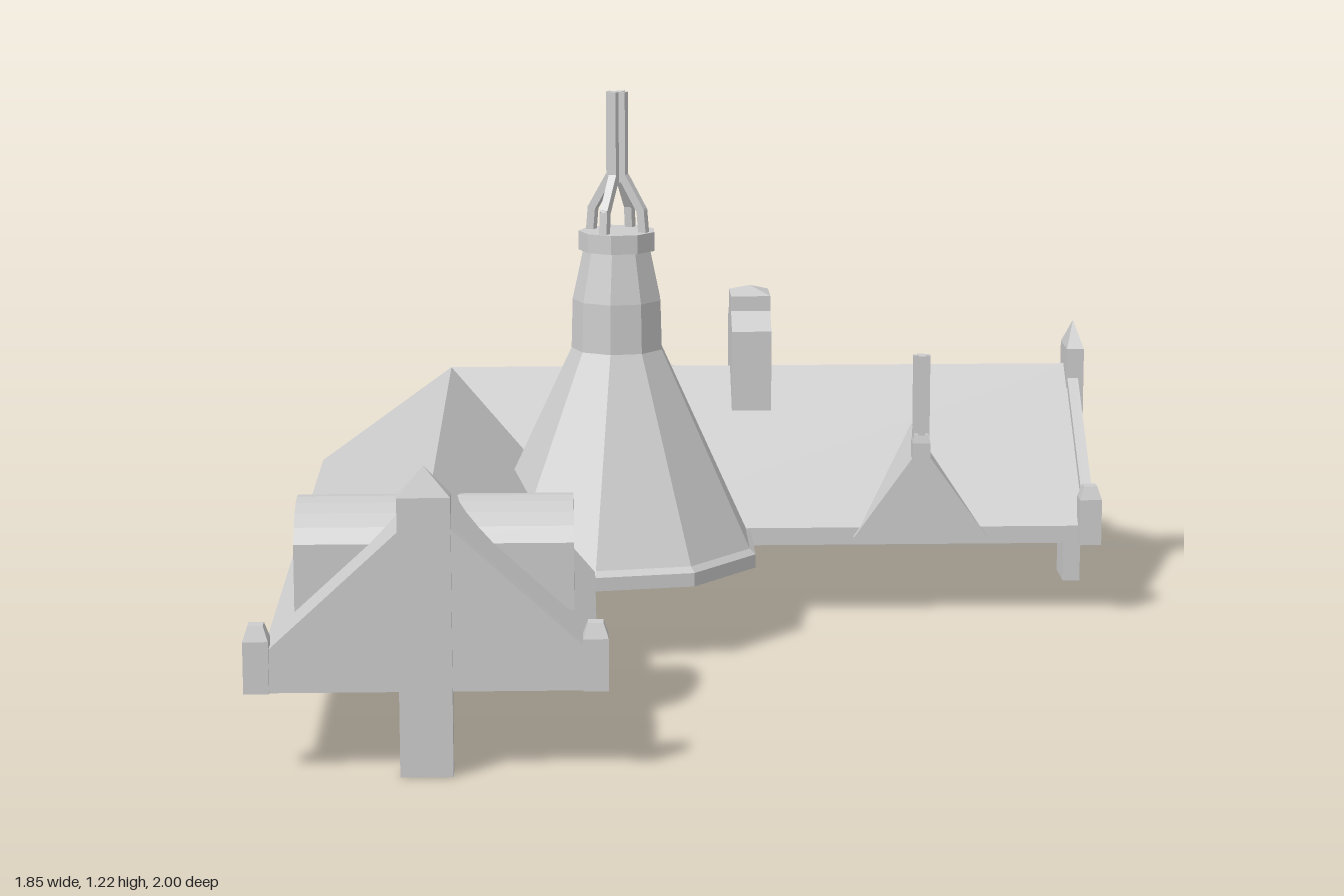
import * as THREE from 'three';

export function createModel() {
  const model = new THREE.Group();
  const grey = new THREE.MeshStandardMaterial({ color: 0xcccccc });
  grey.name = 'paleGrey';

  // Adds a faceted mesh
  function add(name, geometry, x = 0, y = 0, z = 0, parent = model) {
    const flat = geometry.index ? geometry.toNonIndexed() : geometry;
    flat.computeVertexNormals();
    const mesh = new THREE.Mesh(flat, grey);
    mesh.name = name;
    mesh.position.set(x, y, z);
    parent.add(mesh);
    return mesh;
  }

  // Builds a geometry from planar convex faces, each a counter-clockwise loop of points
  function faces(list) {
    const out = [];
    for (const f of list)
      for (let i = 1; i < f.length - 1; i++) out.push(...f[0], ...f[i], ...f[i + 1]);
    return new THREE.BufferGeometry().setAttribute('position', new THREE.Float32BufferAttribute(out, 3));
  }

  // Extrudes a profile along z from 0 to depth
  function extrude(points, depth) {
    const shape = new THREE.Shape(points.map(p => new THREE.Vector2(...p)));
    return new THREE.ExtrudeGeometry(shape, { depth, bevelEnabled: false });
  }

  // Square-section shaft with a tapered cap
  function post(name, x, z, w, d, y0, y1, y2, topScale) {
    const group = new THREE.Group();
    group.name = name;
    group.position.set(x, 0, z);
    add('shaft', new THREE.BoxGeometry(w, y1 - y0, d), 0, (y0 + y1) / 2, 0, group);
    const cap = new THREE.CylinderGeometry(topScale * Math.SQRT1_2, Math.SQRT1_2, y2 - y1, 4, 1);
    cap.rotateY(Math.PI / 4).scale(w, 1, d);
    add('cap', cap, 0, (y1 + y2) / 2, 0, group);
    model.add(group);
  }

  // L-shaped hipped roof with a shallow fascia
  const W = -0.9, I = -0.235, E = 0.895, N = -0.987, S = -0.215, F = 0.98;
  const rx = -0.567, rz = -0.6, low = 0.17, eave = 0.21, ridge = 0.515;
  const outline = [[W, N], [W, F], [I, F], [I, S], [E, S], [E, N]];
  const corner = [rx, ridge, rz], valley = [I, eave, S], hip = [W, eave, N];
  const frontRidge = [rx, ridge, F], sideRidge = [E, ridge, rz];
  const roofFaces = [
    [hip, [W, eave, F], frontRidge, corner],
    [[I, eave, F], valley, corner, frontRidge],
    [valley, [E, eave, S], sideRidge, corner],
    [[E, eave, N], hip, corner, sideRidge],
    [[W, eave, F], [I, eave, F], frontRidge],
    [[E, eave, S], [E, eave, N], sideRidge],
    [[W, low, N], [I, low, S], [I, low, F], [W, low, F]],
    [[W, low, N], [E, low, N], [E, low, S], [I, low, S]],
  ];
  outline.forEach(([x, z], i) => {
    const [u, v] = outline[(i + 1) % outline.length];
    roofFaces.push([[x, low, z], [u, low, v], [u, eave, v], [x, eave, z]]);
  });
  add('roof', faces(roofFaces));

  // Raised gable walls at both wing ends
  const gable = (a, b) => [[a, low], [b, low], [b, 0.235], [(a + b) / 2, 0.54], [a, 0.235]];
  add('frontGable', extrude(gable(W, I), 0.03), 0, 0, 0.957);
  add('sideGable', extrude(gable(-S, -N), 0.025).rotateY(Math.PI / 2), 0.883);

  // Corner posts and the tall central pillars of the gables
  for (const [x, z] of [[-0.9, 0.97], [-0.238, 0.97], [0.895, -0.973], [0.895, -0.215]])
    post('cornerPost', x, z, 0.05, 0.05, low, 0.275, 0.305, 0.6);
  post('frontPillar', -0.57, 0.978, 0.104, 0.042, 0, 0.56, 0.62, 0.001);
  post('sidePillar', 0.901, -0.595, 0.04, 0.112, 0, 0.56, 0.62, 0.001);

  // Barrel-vaulted dormers
  function vault(half, length) {
    const points = [[-half, 0.26], [half, 0.26]];
    const rise = 0.07, r = (half * half + rise * rise) / (2 * rise), a = Math.asin(half / r);
    for (let i = 0; i <= 8; i++) {
      const t = a * (1 - i / 4);
      points.push([r * Math.sin(t), 0.47 - r + r * Math.cos(t)]);
    }
    return extrude(points, length);
  }
  add('frontWingDormers', vault(0.133, 0.565).rotateY(Math.PI / 2), -0.845, 0, 0.575);
  add('backDormer', vault(0.133, 0.31), -0.097, 0, -0.915);

  // Pointed dormer on the inner slope
  add('pointedDormer', extrude([[-0.152, 0.19], [0.152, 0.19], [0, 0.402]], 0.26), 0.508, 0, -0.46);

  // Thin cross-section finial
  function finial(name, x, z, y0, y1, size, thick, turn) {
    const group = new THREE.Group();
    group.name = name;
    group.position.set(x, (y0 + y1) / 2, z);
    group.rotation.y = turn;
    add('blade', new THREE.BoxGeometry(size, y1 - y0, thick), 0, 0, 0, group);
    add('blade', new THREE.BoxGeometry(thick, y1 - y0, size), 0, 0, 0, group);
    model.add(group);
  }
  post('dormerFinialBase', 0.507, -0.21, 0.04, 0.046, 0.36, 0.41, 0.43, 0.8);
  finial('dormerFinial', 0.507, -0.21, 0.42, 0.61, 0.038, 0.015, 0);

  // Shouldered chimney straddling the ridge
  const stack = [[0.49, 0.35], [0.71, 0.35], [0.71, 0.615], [0.652, 0.655], [0.652, 0.69], [0.542, 0.69], [0.542, 0.655], [0.49, 0.615]];
  add('chimney', extrude(stack, 0.092).rotateY(Math.PI / 2), 0.09);
  const chimneyCap = new THREE.ConeGeometry(Math.SQRT1_2, 0.018, 4).rotateY(Math.PI / 4).scale(0.092, 1, 0.11);
  add('chimneyCap', chimneyCap, 0.136, 0.699, -0.597);

  // Nine-sided tower with a flared skirt and collar
  const tx = -0.18, tz = -0.115;
  const profile = [[0, 0.17], [0.322, 0.17], [0.322, 0.2], [0.308, 0.212], [0.103, 0.65], [0.1, 0.76], [0.076, 0.87],
    [0.086, 0.87], [0.086, 0.912], [0, 0.912]].map(p => new THREE.Vector2(...p));
  add('tower', new THREE.LatheGeometry(profile, 9, Math.PI / 6), tx, 0, tz);

  // Open lantern of four bent struts carrying the spire
  const lantern = new THREE.Group();
  lantern.name = 'lantern';
  lantern.position.set(tx, 0, tz);
  model.add(lantern);
  function strut(parent, r0, y0, r1, y1) {
    const bar = add('strut', new THREE.BoxGeometry(0.018, Math.hypot(r1 - r0, y1 - y0) + 0.008, 0.018),
      (r0 + r1) / 2, (y0 + y1) / 2, 0, parent);
    bar.rotation.z = -Math.atan2(r1 - r0, y1 - y0);
  }
  for (let i = 0; i < 4; i++) {
    const side = new THREE.Group();
    side.name = 'lanternSide';
    side.rotation.y = -0.47 + i * Math.PI / 2;
    strut(side, 0.065, 0.905, 0.06, 0.96);
    strut(side, 0.06, 0.96, 0.018, 1.03);
    lantern.add(side);
  }
  finial('spire', tx, tz, 1.02, 1.22, 0.046, 0.016, -0.47);

  return model;
}
